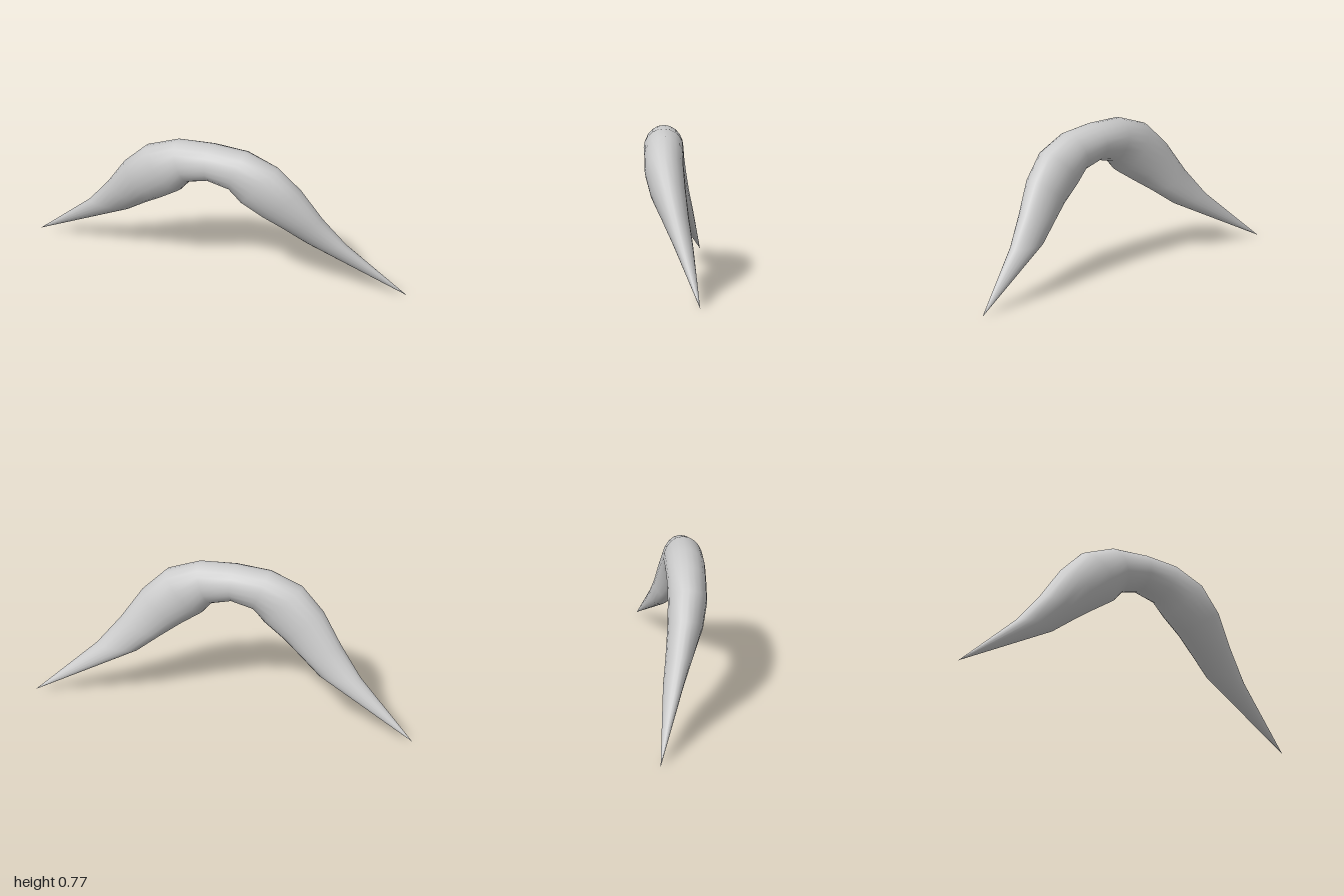
import * as THREE from 'three';

// Half of the moustache, centre to tip: upper x, y, lower x, y, front z, back z
const SECTIONS = [
  [0, 0.775, 0, 0.58, 0.143, -0.06],
  [0.19, 0.765, 0.11, 0.55, 0.14, -0.06],
  [0.36, 0.70, 0.165, 0.485, 0.138, -0.063],
  [0.48, 0.58, 0.27, 0.415, 0.11, -0.073],
  [0.585, 0.42, 0.365, 0.35, 0.055, -0.088],
  [0.70, 0.275, 0.48, 0.265, -0.005, -0.108],
  [1, 0, 1, 0, -0.145, -0.145],
];
const SIDES = 20;

// Loft elliptical rings from the right tip to the left tip
function loftGeometry() {
  const last = SECTIONS.length - 1;
  const positions = [], indices = [];
  for (let s = -last; s <= last; s++) {
    const [ux, uy, lx, ly, front, back] = SECTIONS[Math.abs(s)];
    const mirror = Math.sign(s);
    for (let j = 0; j < SIDES; j++) {
      const angle = (j / SIDES) * Math.PI * 2;
      const c = Math.cos(angle) / 2;
      positions.push(
        mirror * ((ux + lx) / 2 + (ux - lx) * c),
        (uy + ly) / 2 + (uy - ly) * c,
        (front + back) / 2 + ((front - back) / 2) * Math.sin(angle),
      );
    }
  }
  const spans = last * 2;
  for (let i = 0; i < spans; i++) {
    for (let j = 0; j < SIDES; j++) {
      const k = (j + 1) % SIDES;
      const a = i * SIDES + j, b = i * SIDES + k;
      const c = a + SIDES, d = b + SIDES;
      // The tip rings are points, so each needs one triangle per side
      if (i > 0) indices.push(a, b, c);
      if (i < spans - 1) indices.push(b, d, c);
      else continue;
    }
  }
  const geometry = new THREE.BufferGeometry();
  geometry.setAttribute('position', new THREE.Float32BufferAttribute(positions, 3));
  geometry.setIndex(indices);
  geometry.computeVertexNormals();
  return geometry;
}

export function createModel() {
  const group = new THREE.Group();
  group.name = 'moustache';
  const material = new THREE.MeshStandardMaterial({ color: 0xcccccc });
  const hair = new THREE.Mesh(loftGeometry(), material);
  hair.name = 'moustacheHair';
  group.add(hair);
  return group;
}
